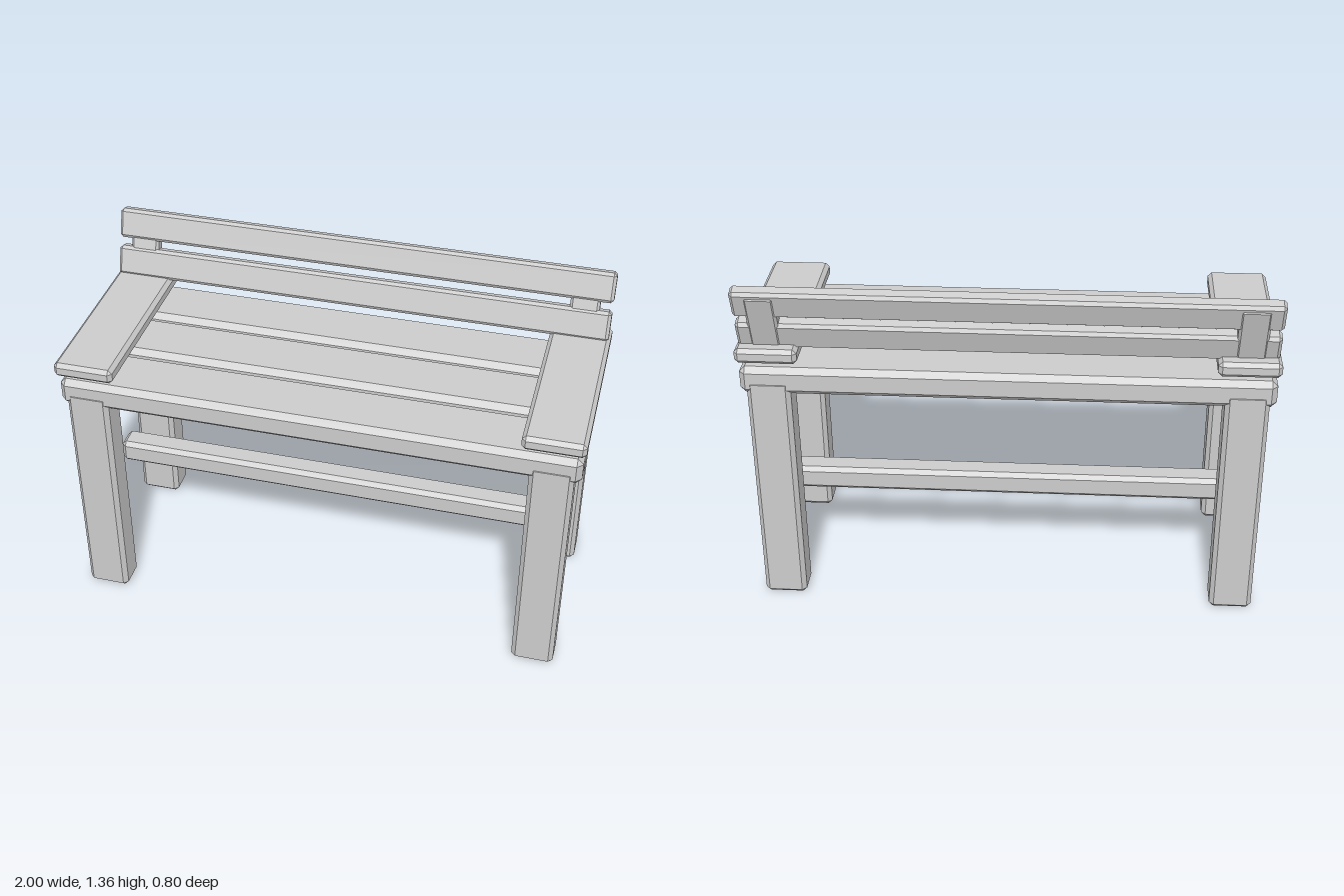
import * as THREE from 'three';
import { ConvexGeometry } from 'three/addons/geometries/ConvexGeometry.js';

const wood = new THREE.MeshStandardMaterial({ color: 0xcccccc });
wood.name = 'plain grey wood';

// Beam with every edge cut by a single flat chamfer
function chamferBox(w, h, d, c) {
  const pts = [];
  for (const x of [-1, 1]) for (const y of [-1, 1]) for (const z of [-1, 1]) {
    const X = w / 2, Y = h / 2, Z = d / 2;
    pts.push(
      new THREE.Vector3(x * X, y * (Y - c), z * (Z - c)),
      new THREE.Vector3(x * (X - c), y * Y, z * (Z - c)),
      new THREE.Vector3(x * (X - c), y * (Y - c), z * Z));
  }
  return new ConvexGeometry(pts);
}

// Adds a beam given by its x, y and z ranges
function beam(parent, name, [x0, x1], [y0, y1], [z0, z1], c = 0.015) {
  const mesh = new THREE.Mesh(chamferBox(x1 - x0, y1 - y0, z1 - z0, c), wood);
  mesh.name = name;
  mesh.position.set((x0 + x1) / 2, (y0 + y1) / 2, (z0 + z1) / 2);
  parent.add(mesh);
  return mesh;
}

export function createModel() {
  const bench = new THREE.Group();
  bench.name = 'bench';

  // Three seat planks
  for (const z of [0.27, 0.01, -0.248]) {
    beam(bench, 'seatPlank', [-0.992, 0.992], [0.912, 1.022], [z - 0.119, z + 0.119], 0.022);
  }

  // Low stretcher between the end frames
  beam(bench, 'stretcher', [-0.945, 0.945], [0.335, 0.432], [-0.113, -0.007], 0.017);

  // Leaning backrest: local y runs along the slope
  const back = new THREE.Group();
  back.name = 'backrest';
  back.position.set(0, 1.2225, -0.333);
  back.rotation.x = -0.31;
  bench.add(back);
  for (const y of [-0.076, 0.076]) {
    beam(back, 'backSlat', [-0.992, 0.992], [y - 0.059, y + 0.059], [-0.029, 0.029], 0.012);
  }

  for (const s of [-1, 1]) {
    const side = (a, b) => (s > 0 ? [a, b] : [-b, -a]);
    const end = new THREE.Group();
    end.name = s > 0 ? 'leftEnd' : 'rightEnd';
    bench.add(end);

    // Legs, side rail, arm block and armrest
    beam(end, 'frontLeg', side(0.803, 0.967), [0, 0.97], [0.264, 0.391], 0.017);
    beam(end, 'backLeg', side(0.803, 0.967), [0, 0.97], [-0.369, -0.24], 0.017);
    beam(end, 'sideRail', side(0.835, 0.94), [0.815, 0.93], [-0.265, 0.29]);
    beam(end, 'armBlock', side(0.83, 0.943), [1.0, 1.065], [0.252, 0.347], 0.01);
    beam(end, 'armrest', side(0.768, 1.0), [1.047, 1.106], [-0.381, 0.404]);

    // Post carrying the back slats
    beam(back, 'backPost', side(0.83, 0.943), [-0.25, 0.118], [-0.033, 0.021], 0.01);
  }

  return bench;
}
